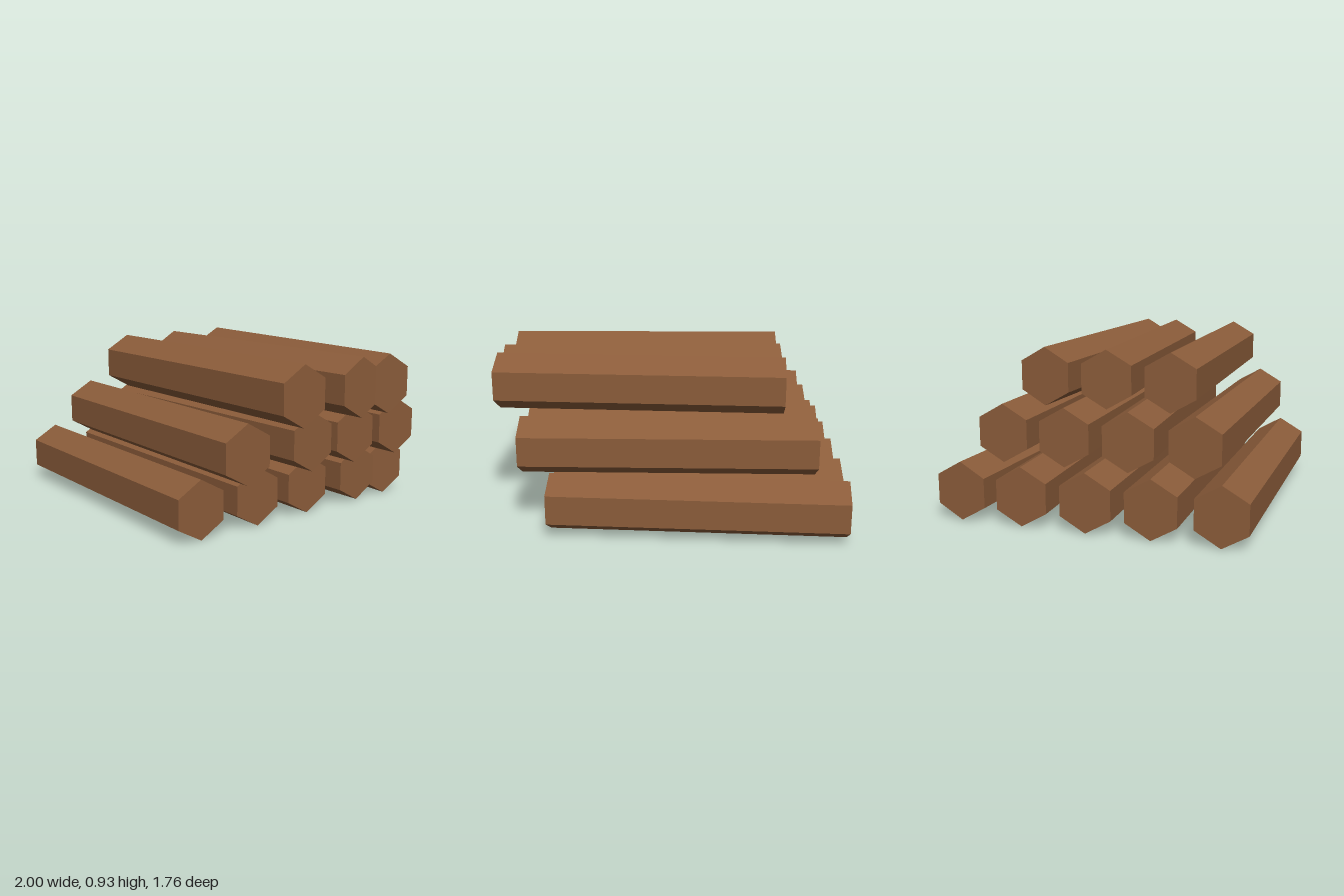
import * as THREE from 'three';

const LENGTH = 1.65;
const RADIUS = 0.165;

// Each row: height of the log axes, x offset, and [z at the -x end, z at the +x end] per log
const ROWS = [
  { name: 'bottomLog', y: 0.165, x: -0.167,
    logs: [[0.719, 0.738], [0.348, 0.356], [-0.012, -0.013], [-0.378, -0.421], [-0.737, -0.657]] },
  { name: 'middleLog', y: 0.465, x: 0,
    logs: [[0.536, 0.562], [0.169, 0.108], [-0.196, -0.218], [-0.558, -0.56]] },
  { name: 'topLog', y: 0.765, x: 0.167,
    logs: [[0.353, 0.332], [-0.012, -0.089], [-0.375, -0.297]] },
];

// Hexagonal beam lying along x with one ridge facing up, faceted normals
function beamGeometry() {
  const geometry = new THREE.CylinderGeometry(RADIUS, RADIUS, LENGTH, 6)
    .rotateX(-Math.PI / 2)
    .rotateY(Math.PI / 2)
    .toNonIndexed();
  geometry.computeVertexNormals();
  return geometry;
}

export function createModel() {
  const group = new THREE.Group();
  group.name = 'logPile';
  const wood = new THREE.MeshStandardMaterial({ color: 0x8b5c3a });
  wood.name = 'brownWood';
  const geometry = beamGeometry();

  // Three stacked rows, every log slightly skewed
  for (const row of ROWS) {
    row.logs.forEach(([zLeft, zRight], i) => {
      const log = new THREE.Mesh(geometry, wood);
      log.name = `${row.name}${i + 1}`;
      log.position.set(row.x, row.y, (zLeft + zRight) / 2);
      log.rotation.y = -Math.asin((zRight - zLeft) / LENGTH);
      group.add(log);
    });
  }
  return group;
}
